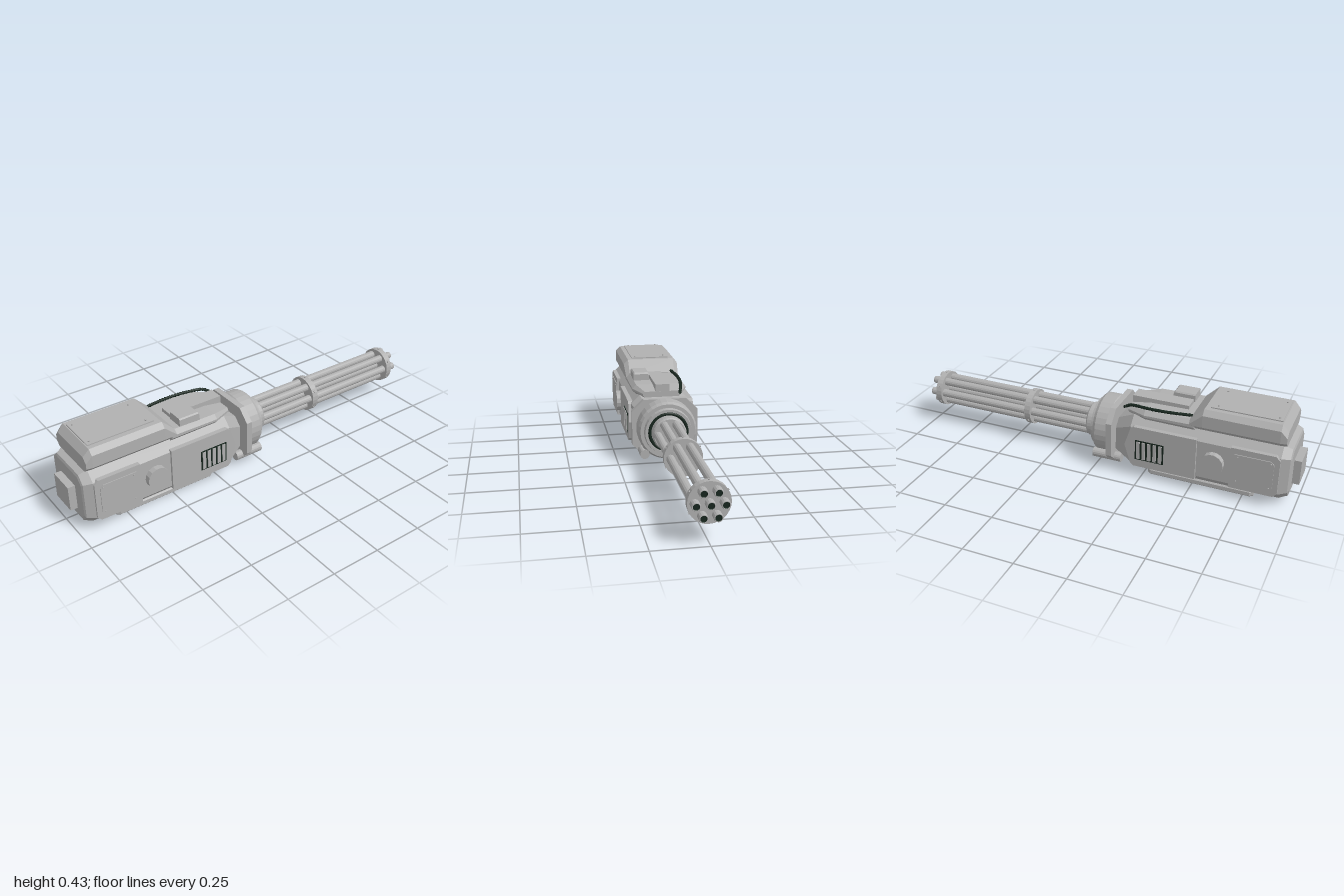
import * as THREE from 'three';

const CY = 0.173; // height of the barrel axis

export function createModel() {
  const model = new THREE.Group();
  const metal = new THREE.MeshStandardMaterial({ color: 0xb0b0b0, flatShading: true });
  metal.name = 'grey metal';
  const smoothMetal = metal;
  const dark = new THREE.MeshStandardMaterial({ color: 0x17261e, side: THREE.DoubleSide });
  dark.name = 'dark rubber';

  const add = (name, geometry, material = metal, x = 0, y = 0, z = 0) => {
    const mesh = new THREE.Mesh(geometry, material);
    mesh.name = name;
    mesh.position.set(x, y, z);
    model.add(mesh);
    return mesh;
  };

  // Chamfered hull: sections [z, halfWidth, bottom, top, chamfer] with z rising
  const hull = (name, sections, x = 0) => {
    const pos = [], idx = [];
    for (const [z, w, b, t, c] of sections) {
      for (const [px, py] of [[w - c, b], [w, b + c], [w, t - c], [w - c, t],
        [c - w, t], [-w, t - c], [-w, b + c], [c - w, b]]) pos.push(px, py, z);
    }
    const last = (sections.length - 1) * 8;
    for (let s = 0; s < last; s += 8) {
      for (let i = 0; i < 8; i++) {
        const a = s + i, b = s + (i + 1) % 8;
        idx.push(a, b, b + 8, a, b + 8, a + 8);
      }
    }
    for (let i = 1; i < 7; i++) idx.push(0, i + 1, i, last, last + i, last + i + 1);
    const g = new THREE.BufferGeometry();
    g.setAttribute('position', new THREE.Float32BufferAttribute(pos, 3));
    g.setIndex(idx);
    const flat = g.toNonIndexed();
    flat.computeVertexNormals();
    return add(name, flat, metal, x);
  };

  // Turned part along z: profile points [radius, z] with z falling
  const turned = (name, profile, sides = 32, material = smoothMetal, x = 0, y = CY) => {
    const g = new THREE.LatheGeometry(profile.map(([r, z]) => new THREE.Vector2(r, -z)), sides);
    g.rotateX(-Math.PI / 2);
    return add(name, g, material, x, y);
  };

  // Flat plate on a flank, outline given as [z, y]
  const flankPlate = (name, outline, side, x0, depth) => {
    const shape = new THREE.Shape(outline.map(p => new THREE.Vector2(...p)));
    const g = new THREE.ExtrudeGeometry(shape, { depth, bevelEnabled: false });
    g.rotateY(-Math.PI / 2);
    add(name, g, metal, side > 0 ? x0 + depth : -x0);
  };

  const box = (name, w, h, d, x, y, z, material = metal) =>
    add(name, new THREE.BoxGeometry(w, h, d), material, x, y, z);

  // Main body with tapered nose and bevelled rear
  hull('body', [
    [0.09, 0.11, 0.06, 0.25, 0.04],
    [0.19, 0.158, 0.027, 0.31, 0.045],
    [0.92, 0.162, 0.025, 0.31, 0.047],
    [0.96, 0.142, 0.043, 0.293, 0.036],
    [0.965, 0.132, 0.058, 0.28, 0.03],
  ]);
  box('rearButton', 0.137, 0.125, 0.04, -0.001, 0.153, 0.98);
  hull('basePlate', [
    [0.27, 0.115, 0, 0.03, 0.006],
    [0.285, 0.127, 0, 0.03, 0.006],
    [0.785, 0.127, 0, 0.03, 0.006],
    [0.8, 0.115, 0, 0.03, 0.006],
  ]);

  // Upper housing, its lid and the front deck
  hull('upperHousing', [
    [0.475, 0.145, 0.31, 0.356, 0.02],
    [0.54, 0.15, 0.31, 0.419, 0.024],
    [0.905, 0.15, 0.31, 0.419, 0.024],
    [0.935, 0.145, 0.31, 0.385, 0.024],
  ]);
  hull('frontDeck', [
    [0.155, 0.1, 0.305, 0.335, 0.01],
    [0.25, 0.142, 0.3, 0.35, 0.02],
    [0.5, 0.145, 0.3, 0.355, 0.02],
  ]);
  box('housingLid', 0.204, 0.008, 0.335, 0, 0.42, 0.732);
  for (const x of [-0.08, 0.08]) {
    for (const z of [0.595, 0.88]) {
      add('lidScrew', new THREE.CylinderGeometry(0.005, 0.005, 0.008, 10), metal, x, 0.425, z);
    }
  }
  box('deckRail', 0.074, 0.04, 0.285, -0.003, 0.352, 0.298);
  hull('deckBlock', [
    [0.335, 0.042, 0.33, 0.385, 0.006],
    [0.343, 0.042, 0.33, 0.393, 0.006],
    [0.445, 0.042, 0.33, 0.393, 0.006],
  ], 0.082);

  // Ribbed cable over the deck
  const cable = new THREE.CatmullRomCurve3([[-0.09, 0.328, 0.13], [-0.1, 0.35, 0.17], [-0.115, 0.357, 0.26],
    [-0.118, 0.36, 0.36], [-0.105, 0.363, 0.48]].map(p => new THREE.Vector3(...p)));
  add('cable', new THREE.TubeGeometry(cable, 32, 0.007, 8), dark);
  for (let i = 1; i < 24; i++) {
    const rib = add('cableRib', new THREE.TorusGeometry(0.007, 0.002, 5, 10), dark);
    rib.position.copy(cable.getPointAt(i / 24));
    rib.lookAt(rib.position.clone().add(cable.getTangentAt(i / 24)));
  }

  // Flank panels, discs and vents
  for (const s of [-1, 1]) {
    flankPlate('frontPanel', [[0.165, 0.17], [0.195, 0.262], [0.21, 0.275], [0.525, 0.275],
      [0.525, 0.06], [0.21, 0.06], [0.195, 0.075]].reverse(), s, 0.145, 0.027);
    flankPlate('rearPanel', [[0.69, 0.06], [0.9, 0.06], [0.92, 0.08], [0.92, 0.255],
      [0.9, 0.275], [0.69, 0.275]], s, 0.15, 0.022);
    flankPlate('rearCover', [[0.71, 0.09], [0.88, 0.09], [0.895, 0.105], [0.895, 0.23],
      [0.88, 0.245], [0.71, 0.245]], s, 0.17, 0.006);
    for (const y of [0.103, 0.232]) {
      for (const z of [0.725, 0.88]) {
        const screw = add('coverScrew', new THREE.CylinderGeometry(0.004, 0.004, 0.006, 8), metal, s * 0.177, y, z);
        screw.rotation.z = Math.PI / 2;
      }
    }
    const disc = add('sideDisc', new THREE.CylinderGeometry(0.055, 0.055, 0.03, 14), metal, s * 0.174, CY - 0.004, 0.607);
    disc.rotation.z = Math.PI / 2;
    box('ventOpening', 0.004, 0.106, 0.145, s * 0.172, 0.153, 0.293, dark);
    for (let i = 0; i < 5; i++) box('ventSlat', 0.008, 0.094, 0.017, s * 0.174, 0.153, 0.237 + i * 0.028);

    // Lower side pins
    const pin = add('lowerPin', new THREE.CylinderGeometry(0.024, 0.024, 0.15, 16), smoothMetal, s * 0.118, 0.055, 0.055);
    pin.rotation.x = Math.PI / 2;
  }

  // Front flange and rotor housing
  hull('flange', [[0.065, 0.17, 0.022, 0.318, 0.06], [0.095, 0.17, 0.022, 0.318, 0.06]]);
  turned('rotorHousing', [[0, 0.075], [0.14, 0.075], [0.15, 0.06], [0.15, -0.005], [0.14, -0.02],
    [0.122, -0.02], [0.118, -0.04], [0.104, -0.04], [0.104, -0.03], [0, -0.03]]);
  add('rotorSeal', new THREE.TorusGeometry(0.095, 0.008, 8, 36), dark, 0, CY, -0.034);
  turned('barrelHub', [[0, -0.02], [0.086, -0.02], [0.086, -0.075], [0.08, -0.082], [0, -0.082]]);

  // Barrel cluster: six around one
  for (let i = 0; i < 7; i++) {
    const r = i < 6 ? 0.061 : 0, a = i * Math.PI / 3;
    const x = r * Math.cos(a), y = CY + r * Math.sin(a);
    turned('barrel', [[0.02, -0.07], [0.02, -0.994], [0.018, -1], [0.015, -1], [0.015, -0.98]], 14, smoothMetal, x, y);
    turned('bore', [[0.0148, -0.97], [0.0148, -0.998]], 14, dark, x, y);
    add('boreEnd', new THREE.CircleGeometry(0.0148, 14).rotateY(Math.PI), dark, x, y, -0.985);
  }

  // Clamps holding the barrels, with small bolts
  for (const z of [-0.395, -0.93]) {
    turned('barrelClamp', [[0, z], [0.092, z], [0.092, z - 0.032], [0, z - 0.032]], 28);
    for (let i = 0; i < 6; i++) {
      const a = (i + 0.5) * Math.PI / 3;
      const bolt = add('clampBolt', new THREE.CylinderGeometry(0.005, 0.005, 0.008, 8), metal,
        0.092 * Math.cos(a), CY + 0.092 * Math.sin(a), z - 0.016);
      bolt.rotation.z = a - Math.PI / 2;
    }
  }
  return model;
}
